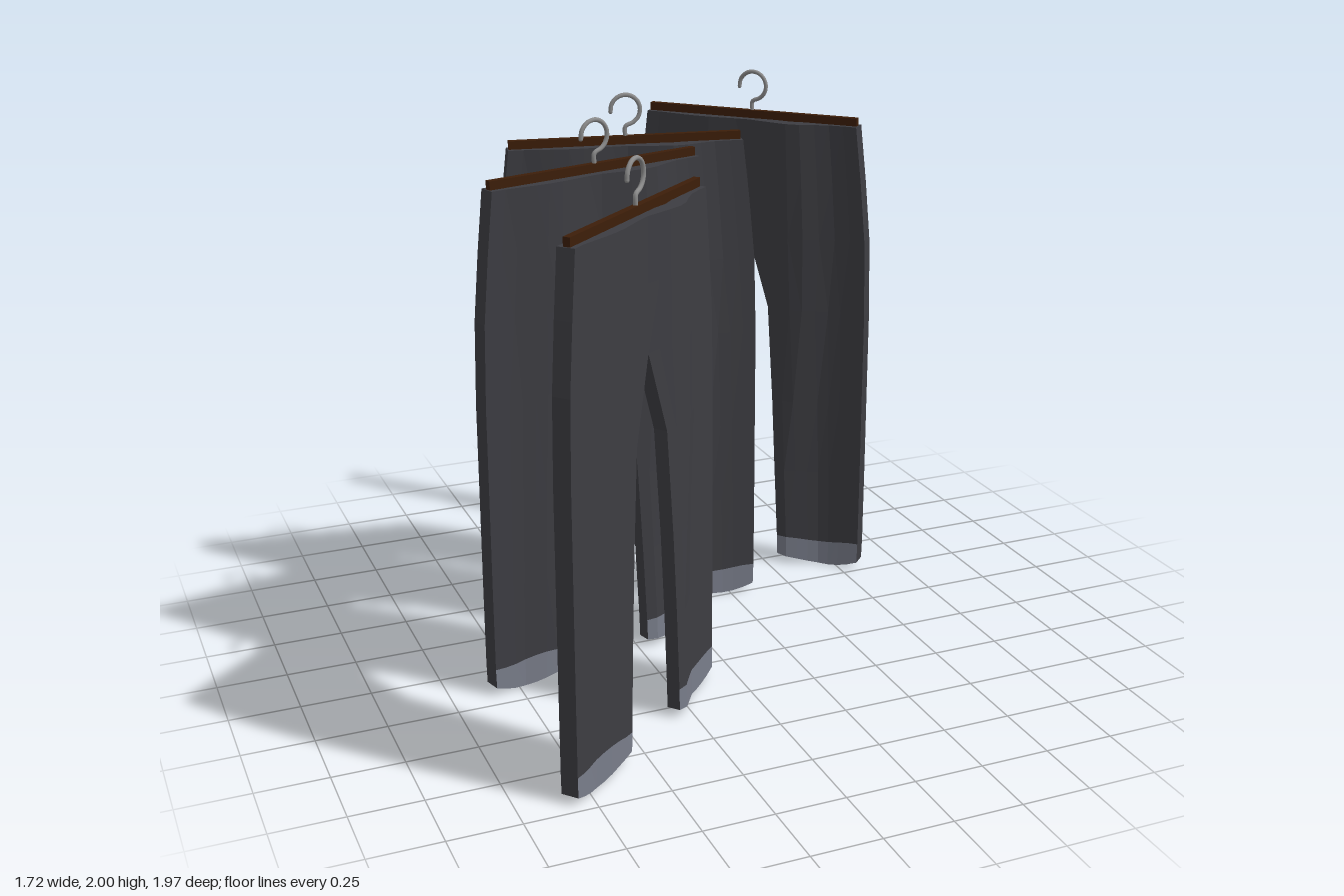
import * as THREE from 'three';

const fabric = new THREE.MeshStandardMaterial({ color: 0x3d3d42 });
fabric.name = 'charcoalFabric';
fabric.flatShading = true;
const hem = new THREE.MeshStandardMaterial({ color: 0x797d8a });
hem.name = 'greyHem';
hem.flatShading = true;
const wood = new THREE.MeshStandardMaterial({ color: 0x3d1e09 });
wood.name = 'darkWood';
const steel = new THREE.MeshStandardMaterial({ color: 0x8c8c8c });
steel.name = 'steel';

// Rows from waist to hem: height, inner leg edge, outer leg edge
const ROWS = [
  [1.815, 0, 0.43], [1.6, 0, 0.455], [1.37, 0, 0.477], [1.08, 0.095, 0.485],
  [0.7, 0.122, 0.486], [0.4, 0.138, 0.487], [0.105, 0.153, 0.487], [0.03, 0.156, 0.485],
];
const COLS = 8;

// Fold of the cloth across its width: position, offset
const FOLD = [
  [-0.6, 0], [-0.36, 0], [-0.27, 0.015], [-0.18, 0.025], [-0.08, 0.02], [0, 0.015],
  [0.1, 0.035], [0.2, 0.05], [0.32, 0.005], [0.38, 0], [0.6, 0],
];
function foldAt(x) {
  for (let k = 1; k < FOLD.length; k++) {
    const [x0, z0] = FOLD[k - 1], [x1, z1] = FOLD[k];
    if (x <= x1) return THREE.MathUtils.lerp(z0, z1, (x - x0) / (x1 - x0));
  }
  return 0;
}

// Thin closed cloth shell, made as two mirrored halves
function trousersGeometry() {
  const lists = [[], []];
  const quad = (a, b, c, d, mat, flip) =>
    lists[mat].push(...(flip ? [a, c, b, a, d, c] : [a, b, c, a, c, d]));
  const last = ROWS.length - 1;

  for (const side of [1, -1]) {
    const point = (i, j, face) => {
      const t = j / COLS;
      const [y, inner, outer] = ROWS[i];
      const x = side * THREE.MathUtils.lerp(inner, outer, t);
      let h = y;
      if (i === last) h -= 0.03 * Math.sin(Math.PI * Math.pow(t, 1.4));
      if (i === last - 1) h += 0.007 * Math.sin(t * 7 + side);
      const z = foldAt(x + 0.015 * Math.sin(y * 4)) + face * (0.024 + 0.007 * t);
      return [x, h, z];
    };
    for (let i = 0; i < last; i++) {
      const mat = i === last - 1 ? 1 : 0;
      // front and back cloth
      for (let j = 0; j < COLS; j++) {
        for (const face of [1, -1]) {
          quad(point(i + 1, j, face), point(i + 1, j + 1, face),
            point(i, j + 1, face), point(i, j, face), mat, side * face < 0);
        }
      }
      // outer seam, and inner seam below the crotch
      for (const [j, flip] of [[COLS, side < 0], [0, side > 0]]) {
        if (j === 0 && i < 2) continue;
        quad(point(i + 1, j, 1), point(i + 1, j, -1), point(i, j, -1), point(i, j, 1), 0, flip);
      }
    }
    // waist top and leg bottoms
    for (let j = 0; j < COLS; j++) {
      for (const [i, flip] of [[last, side < 0], [0, side > 0]]) {
        quad(point(i, j, 1), point(i, j, -1), point(i, j + 1, -1), point(i, j + 1, 1), 0, flip);
      }
    }
  }
  const geo = new THREE.BufferGeometry();
  geo.setAttribute('position', new THREE.Float32BufferAttribute(lists.flat(2), 3));
  geo.addGroup(0, lists[0].length, 0);
  geo.addGroup(lists[0].length, lists[1].length, 1);
  geo.computeVertexNormals();
  return geo;
}

// Hook: open loop that curls down into a straight stem
function hookGeometry() {
  const pts = [];
  for (let a = 185; a >= -60; a -= 24.5) {
    const r = THREE.MathUtils.degToRad(a);
    pts.push(new THREE.Vector3(0.054 * Math.cos(r), 1.938 + 0.054 * Math.sin(r), 0));
  }
  pts.push(new THREE.Vector3(0, 1.878, 0), new THREE.Vector3(0, 1.835, 0));
  return new THREE.TubeGeometry(new THREE.CatmullRomCurve3(pts), 40, 0.008, 8, false);
}

export function createModel() {
  const model = new THREE.Group();
  model.name = 'hangingTrousers';
  const clothGeo = trousersGeometry();
  const hookGeo = hookGeometry();
  const barGeo = new THREE.BoxGeometry(0.85, 0.045, 0.024);
  const tipGeo = new THREE.SphereGeometry(0.008, 8, 6);

  const add = (group, name, geo, mat) => {
    const mesh = new THREE.Mesh(geo, mat);
    mesh.name = name;
    group.add(mesh);
    return mesh;
  };

  // Each pair: centre x, centre z, and direction of its width
  const places = [
    [0.49, -0.625, 0.7, 0.71],
    [-0.13, -0.36, 0.96, 0.16],
    [-0.385, 0.025, 0.93, -0.27],
    [-0.465, 0.63, 0.74, -0.65],
  ];
  places.forEach(([x, z, dx, dz], n) => {
    const pair = new THREE.Group();
    pair.name = 'trousersOnHanger' + (n + 1);
    pair.position.set(x, 0, z);
    pair.rotation.y = -Math.atan2(dz, dx);
    add(pair, 'trousers', clothGeo, [fabric, hem]);
    add(pair, 'hangerBar', barGeo, wood).position.y = 1.8225;
    add(pair, 'hangerHook', hookGeo, steel);
    add(pair, 'hookTip', tipGeo, steel).position.set(-0.054, 1.933, 0);
    model.add(pair);
  });
  return model;
}
